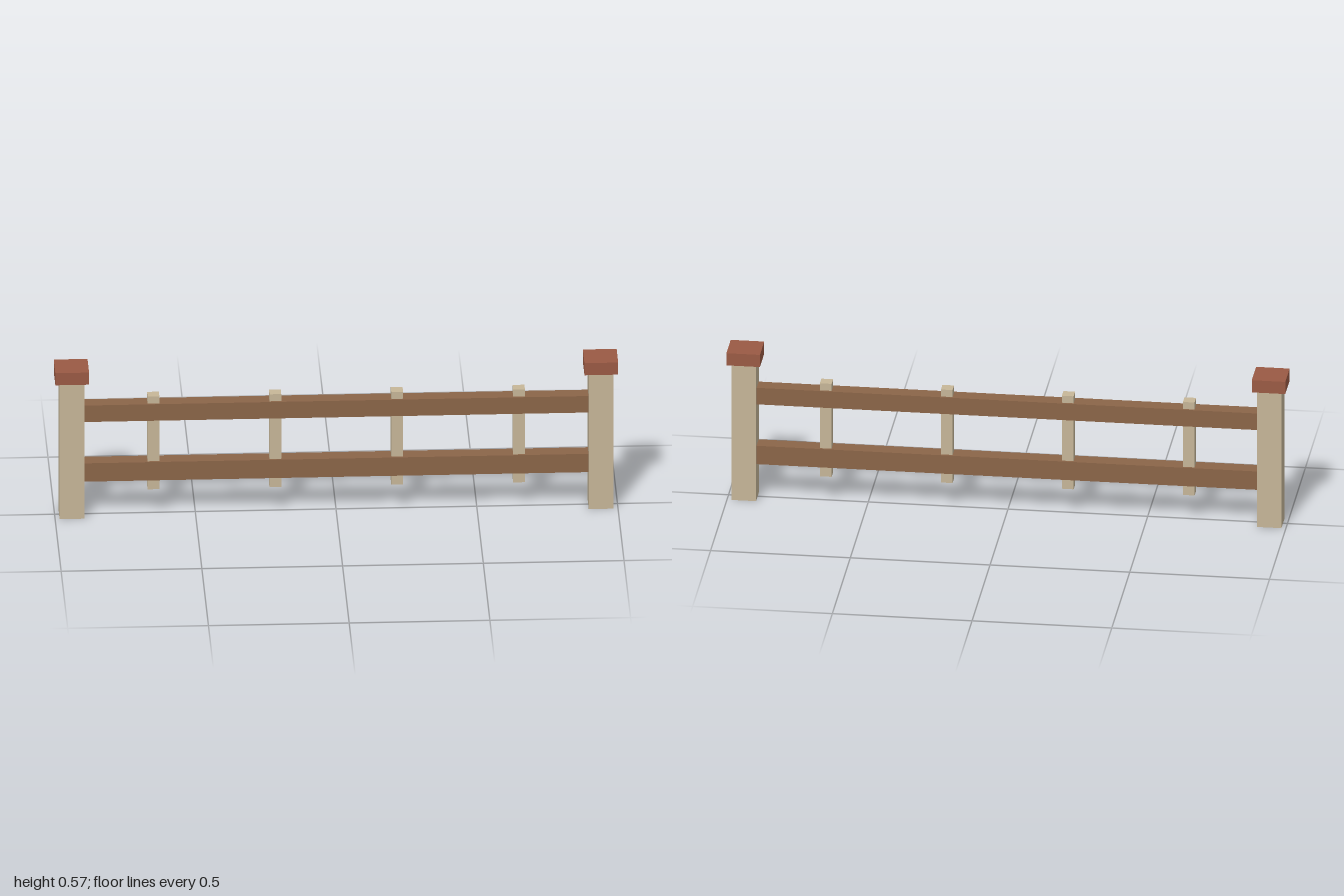
import * as THREE from 'three';

export function createModel() {
  const fence = new THREE.Group();
  fence.name = 'fence';

  const material = (name, color) => {
    const m = new THREE.MeshStandardMaterial({ color });
    m.name = name;
    return m;
  };
  const paleWood = material('pale wood', 0xc6b698);
  const brownWood = material('brown wood', 0x8b6548);
  const redClay = material('red clay', 0x9a5a44);

  // Box standing on height y, centred on z = 0
  const addBox = (name, mat, width, height, depth, x, y) => {
    const mesh = new THREE.Mesh(new THREE.BoxGeometry(width, height, depth), mat);
    mesh.name = name;
    mesh.position.set(x, y + height / 2, 0);
    fence.add(mesh);
  };

  // End posts with overhanging caps
  for (const [side, s] of [['left', 1], ['right', -1]]) {
    addBox(`${side}Post`, paleWood, 0.088, 0.527, 0.088, s * 0.94, 0);
    addBox(`${side}PostCap`, redClay, 0.12, 0.047, 0.12, s * 0.94, 0.527);
  }

  // Horizontal rails between the posts
  addBox('lowerRail', brownWood, 1.794, 0.071, 0.058, 0, 0.137);
  addBox('upperRail', brownWood, 1.794, 0.064, 0.056, 0, 0.368);

  // Evenly spaced balusters passing through the rails
  for (let i = 0; i < 4; i++) {
    addBox(`baluster${i + 1}`, paleWood, 0.042, 0.36, 0.042, (i - 1.5) * 0.433, 0.099);
  }

  return fence;
}
